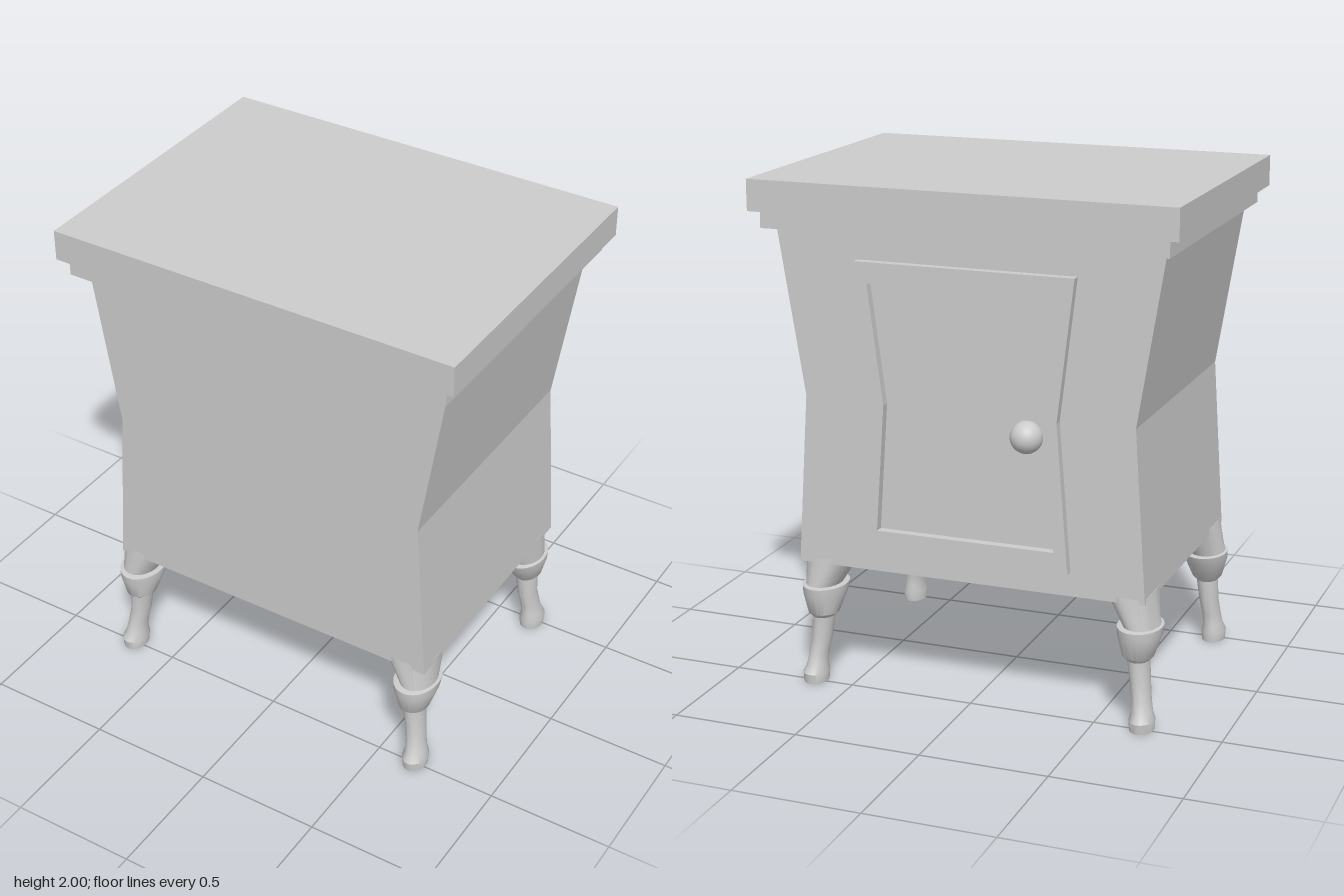
import * as THREE from 'three';
import { toCreasedNormals } from 'three/addons/utils/BufferGeometryUtils.js';

const material = new THREE.MeshStandardMaterial({ color: 0xcccccc });

function addPart(group, name, geometry, x = 0, y = 0, z = 0) {
  const mesh = new THREE.Mesh(geometry, material);
  mesh.name = name;
  mesh.position.set(x, y, z);
  group.add(mesh);
  return mesh;
}

// Symmetric waisted outline from [halfWidth, y] levels, bottom to top
function waisted(levels, Type = THREE.Shape) {
  const right = levels.map(([w, y]) => new THREE.Vector2(w, y));
  const left = levels.map(([w, y]) => new THREE.Vector2(-w, y)).reverse();
  return new Type([...right, ...left]);
}

const extrude = (shape, depth) =>
  new THREE.ExtrudeGeometry(shape, { depth, bevelEnabled: false });

// Leg rings, top to bottom: [y, centre x, centre z, radius x, radius z]
const LEG_RINGS = [
  [0.52, 0.615, 0.415, 0, 0],
  [0.52, 0.615, 0.415, 0.105, 0.125],
  [0.40, 0.65, 0.44, 0.07, 0.092],
  [0.397, 0.645, 0.44, 0.086, 0.116],
  [0.365, 0.645, 0.445, 0.084, 0.108],
  [0.285, 0.645, 0.465, 0.060, 0.068],
  [0.268, 0.647, 0.463, 0.043, 0.052],
  [0.18, 0.655, 0.464, 0.039, 0.048],
  [0.12, 0.664, 0.475, 0.037, 0.048],
  [0.07, 0.670, 0.483, 0.039, 0.053],
  [0.04, 0.672, 0.490, 0.049, 0.066],
  [0.00, 0.672, 0.490, 0.046, 0.061],
  [0.00, 0.672, 0.490, 0, 0],
];
const BODY_HALF_WIDTH = 0.70;
const BODY_HALF_DEPTH = 0.52;
const LEG_SHIFT = -0.015;

// Oval loft whose top is trimmed flush with the body's corner
function legGeometry(sx, sz) {
  const sides = 28;
  const positions = [];
  const index = [];
  LEG_RINGS.forEach(([y, cx, cz, rx, rz], r) => {
    for (let i = 0; i < sides; i++) {
      const t = (i / sides) * Math.PI * 2;
      let x = sx * (cx + rx * Math.cos(t)) + LEG_SHIFT;
      let z = sz * (cz + rz * Math.sin(t));
      if (r < 2) {
        x = THREE.MathUtils.clamp(x, -BODY_HALF_WIDTH, BODY_HALF_WIDTH);
        z = THREE.MathUtils.clamp(z, -BODY_HALF_DEPTH, BODY_HALF_DEPTH);
      }
      positions.push(x, y, z);
      if (r === LEG_RINGS.length - 1) continue;
      const a = r * sides + i;
      const b = r * sides + ((i + 1) % sides);
      const c = a + sides;
      const d = b + sides;
      // Mirrored legs need the opposite winding
      if (sx * sz > 0) index.push(a, b, c, b, d, c);
      else index.push(a, c, b, b, c, d);
    }
  });
  const geometry = new THREE.BufferGeometry();
  geometry.setAttribute('position', new THREE.Float32BufferAttribute(positions, 3));
  geometry.setIndex(index);
  return toCreasedNormals(geometry, 0.6);
}

export function createModel() {
  const group = new THREE.Group();
  group.name = 'cabinet';

  // Waisted body
  const bodyShape = waisted([[BODY_HALF_WIDTH, 0.5], [0.655, 1.17], [0.76, 1.82]]);
  addPart(group, 'body', extrude(bodyShape, BODY_HALF_DEPTH * 2), 0, 0, -BODY_HALF_DEPTH);

  // Stepped top
  addPart(group, 'topMoulding', new THREE.BoxGeometry(1.58, 0.07, 1.18), 0, 1.85, 0);
  addPart(group, 'tableTop', new THREE.BoxGeometry(1.66, 0.12, 1.23), 0, 1.94, 0);

  // Door frame follows the waist of the body
  const frame = waisted([[0.41, 0.595], [0.365, 1.17], [0.43, 1.71]]);
  frame.holes.push(waisted([[0.355, 0.675], [0.32, 1.17], [0.38, 1.63]], THREE.Path));
  addPart(group, 'doorFrame', extrude(frame, 0.04), 0, 0, -0.555);

  addPart(group, 'doorKnob', new THREE.SphereGeometry(0.062, 32, 20), -0.24, 1.1, -0.53);

  // Four legs
  for (const sx of [1, -1]) {
    for (const sz of [1, -1]) {
      const name = `${sz > 0 ? 'front' : 'back'}${sx > 0 ? 'Left' : 'Right'}Leg`;
      addPart(group, name, legGeometry(sx, sz));
    }
  }
  return group;
}
